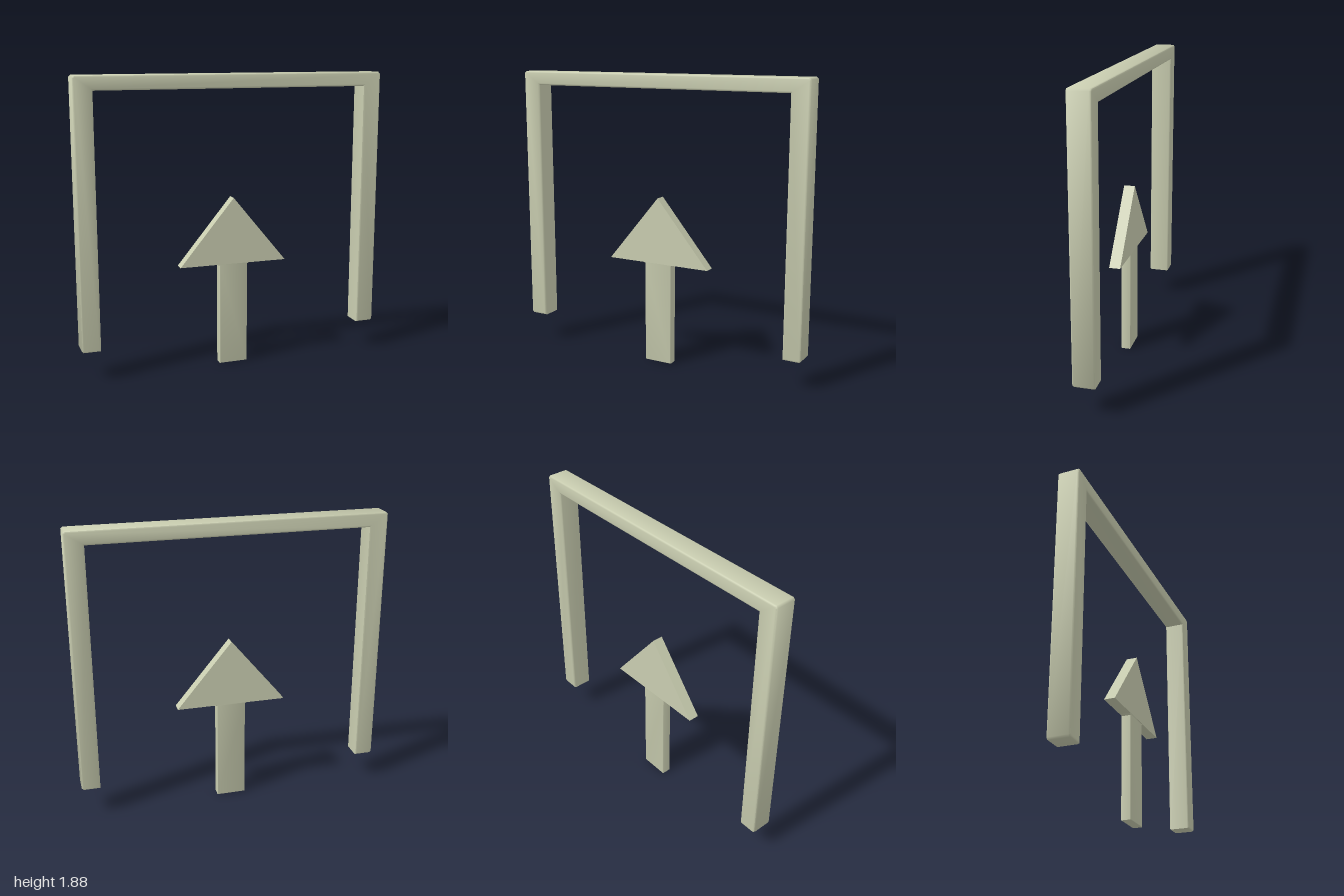
import * as THREE from 'three';
import { toCreasedNormals } from 'three/addons/utils/BufferGeometryUtils.js';

const material = new THREE.MeshStandardMaterial({ color: 0xc9cdb0 });

// Extrudes an outline to a given depth, centred on z = 0, with rounded edges
function slab(name, points, depth, bevel) {
  const shape = new THREE.Shape(points.map(([x, y]) => new THREE.Vector2(x, y)));
  const geometry = new THREE.ExtrudeGeometry(shape, {
    depth: depth - 2 * bevel,
    bevelEnabled: bevel > 0,
    bevelSize: bevel,
    bevelThickness: bevel,
    bevelOffset: -bevel,
    bevelSegments: 2,
  });
  geometry.translate(0, 0, -depth / 2 + bevel);
  const mesh = new THREE.Mesh(toCreasedNormals(geometry, 0.9), material);
  mesh.name = name;
  return mesh;
}

// Completes a right-hand half outline with its mirror image
function mirrored(half) {
  const other = half.filter(([x]) => x > 0).reverse().map(([x, y]) => [-x, y]);
  return [...half, ...other];
}

export function createModel() {
  const group = new THREE.Group();
  group.name = 'gateWithArrow';

  // Frame: two legs and a top beam, outer corners slightly cut
  const c = 0.012;
  group.add(slab('frame', mirrored([
    [0.88, 1.79], [0.88, 0.19], [1 - c, 0.19], [1, 0.19 + c],
    [1, 1.88 - c], [1 - c, 1.88],
  ].reverse()), 0.14, 0.012));

  // Arrow: flat shaft and triangular head
  const arrow = new THREE.Group();
  arrow.name = 'arrow';
  arrow.add(slab('arrowShaft', mirrored([
    [0.094, 0], [0.094, 0.662], [0.115, 0.672], [0.094, 0.69],
  ]), 0.062, 0.004));
  arrow.add(slab('arrowHead', mirrored([[0.355, 0.67], [0, 1.1]]), 0.07, 0));
  group.add(arrow);

  return group;
}
